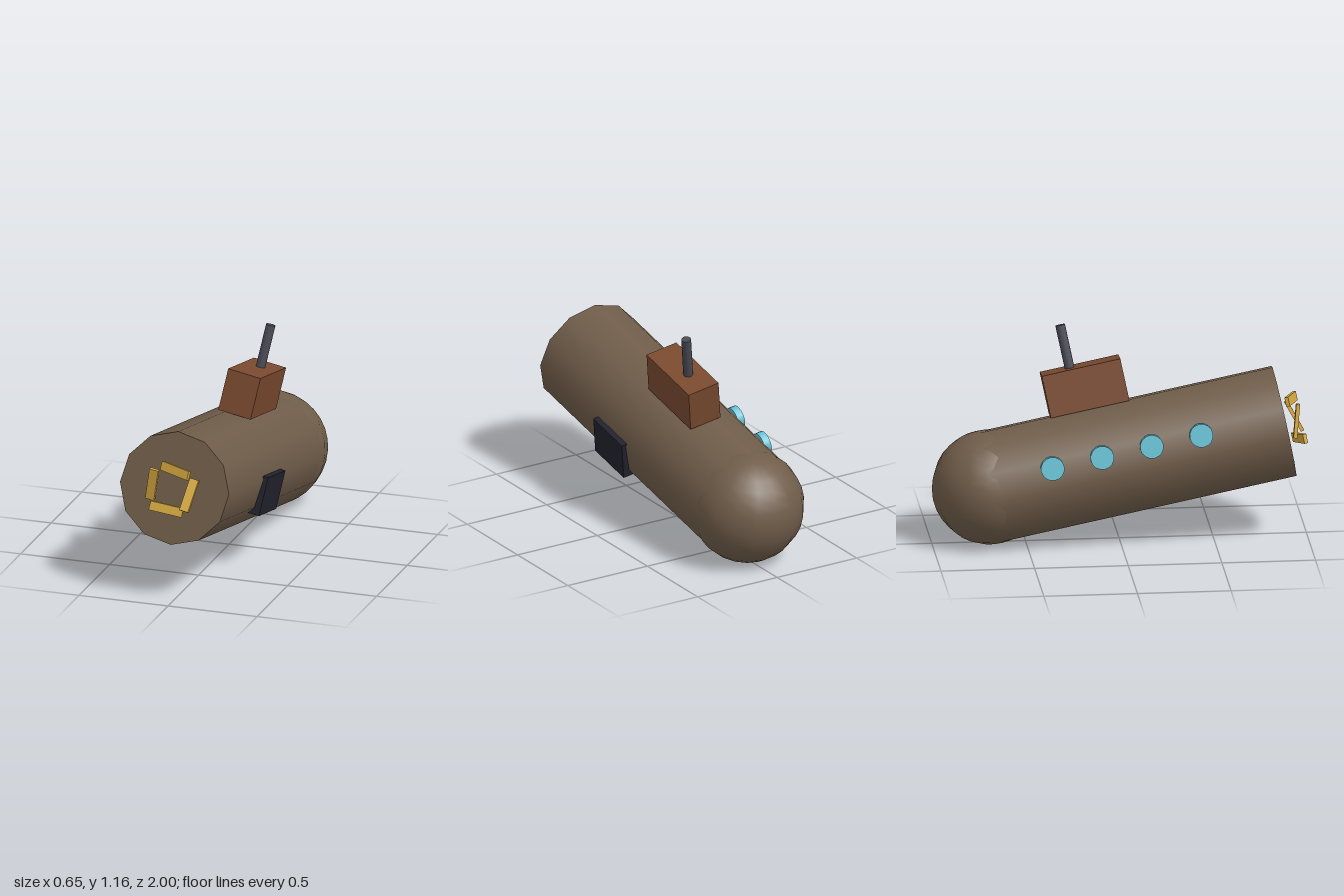
import * as THREE from 'three';

const paint = (name, color) => {
  const m = new THREE.MeshStandardMaterial({ color });
  m.name = name;
  return m;
};

const add = (parent, name, geometry, material, x = 0, y = 0, z = 0) => {
  const mesh = new THREE.Mesh(geometry, material);
  mesh.name = name;
  mesh.position.set(x, y, z);
  parent.add(mesh);
  return mesh;
};

export function createModel() {
  const hullBrown = paint('hullBrown', 0x705d4a);
  const rust = paint('rust', 0x7a4a2f);
  const steel = paint('steel', 0x4a4a55);
  const brass = paint('brass', 0xd6a83f);
  const glass = paint('glass', 0x66c2d6);
  const darkPlate = paint('darkPlate', 0x22222e);

  const model = new THREE.Group();
  model.name = 'submarine';

  // Everything is pitched nose up; the hull runs along local z
  const vessel = new THREE.Group();
  vessel.name = 'vessel';
  vessel.position.set(-0.005, 0.466, 0.093);
  vessel.rotation.x = -0.2;
  model.add(vessel);

  // Hull: twelve-sided barrel with a round tail
  const radius = 0.306, half = 0.803;
  const barrel = new THREE.CylinderGeometry(radius, radius, half * 2, 12).rotateX(Math.PI / 2);
  add(vessel, 'hull', barrel, hullBrown);
  add(vessel, 'tailDome', new THREE.SphereGeometry(radius, 16, 16), hullBrown, 0, 0, -half);

  // Fittings are rolled to the vessel's left
  const fittings = new THREE.Group();
  fittings.name = 'fittings';
  fittings.rotation.z = -0.178;
  vessel.add(fittings);

  // Tower and periscope
  add(fittings, 'tower', new THREE.BoxGeometry(0.186, 0.23, 0.428), rust, 0, 0.415, -0.193);
  add(fittings, 'periscope', new THREE.CylinderGeometry(0.026, 0.026, 0.26, 12), steel, 0, 0.635, -0.25);

  // Row of portholes on the right side
  const disc = new THREE.CylinderGeometry(0.063, 0.063, 0.04, 16).rotateZ(Math.PI / 2);
  for (let i = 0; i < 4; i++) {
    add(fittings, 'porthole', disc, glass, -0.308, 0.064, 0.347 - i * 0.27);
  }

  // Hatch on the left side
  add(fittings, 'hatch', new THREE.BoxGeometry(0.065, 0.214, 0.29), darkPlate, 0.291, -0.035, 0.081);

  // Four twisted blades in a ring at the nose
  const propeller = new THREE.Group();
  propeller.name = 'propeller';
  propeller.position.z = 0.865;
  fittings.add(propeller);
  const blade = new THREE.BoxGeometry(0.18, 0.05, 0.02);
  for (let i = 0; i < 4; i++) {
    const arm = new THREE.Group();
    arm.name = 'bladeArm';
    arm.rotation.z = i * Math.PI / 2;
    propeller.add(arm);
    add(arm, 'blade', blade, brass, 0, 0.107, 0).rotation.y = -0.3;
  }

  return model;
}
